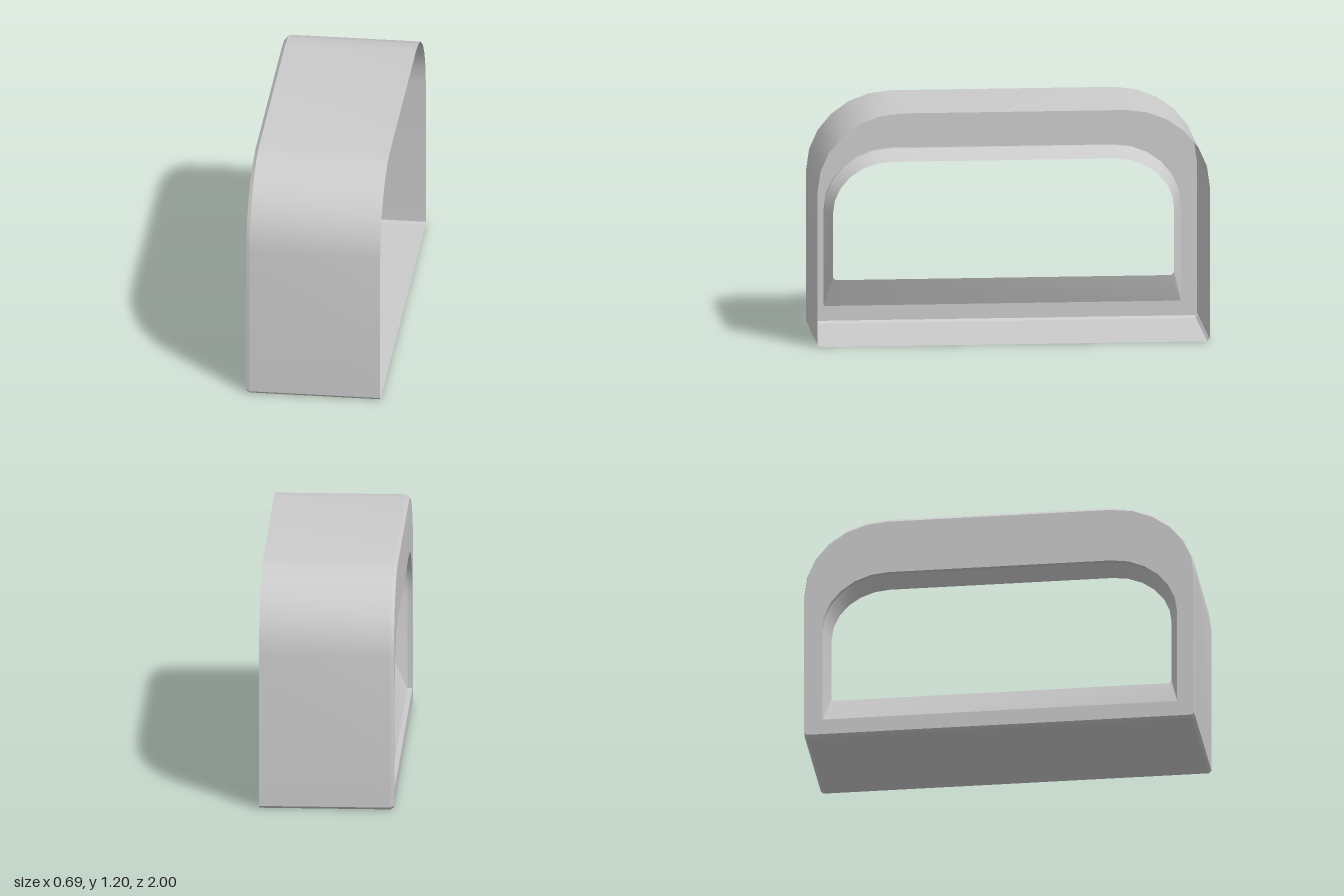
import * as THREE from 'three';
import { toCreasedNormals } from 'three/addons/utils/BufferGeometryUtils.js';

const ARC_STEPS = 6;

// Arched outline in the zy plane at depth x: clipped bottom corners,
// straight sides up to `spring`, elliptical shoulders, flat top.
function archRing(x, { half, bottom, spring, top, flat, clip }) {
  const side = [
    [half - clip, bottom],
    [half, bottom + clip],
  ];
  for (let i = 0; i <= ARC_STEPS; i++) {
    const a = (i / ARC_STEPS) * Math.PI / 2;
    side.push([flat + (half - flat) * Math.cos(a), spring + (top - spring) * Math.sin(a)]);
  }
  const back = side.map(([z, y]) => new THREE.Vector3(x, y, -z));
  const front = side.map(([z, y]) => new THREE.Vector3(x, y, z)).reverse();
  return [...back, ...front];
}

// Closed band of quads joining two matching rings.
function band(a, b) {
  const n = a.length;
  const index = [];
  for (let i = 0; i < n; i++) {
    const j = (i + 1) % n;
    index.push(i, n + i, j, j, n + i, n + j);
  }
  const geometry = new THREE.BufferGeometry().setFromPoints([...a, ...b]);
  geometry.setIndex(index);
  return toCreasedNormals(geometry, 0.5);
}

export function createModel() {
  const group = new THREE.Group();
  group.name = 'archedHousing';
  const material = new THREE.MeshStandardMaterial({ color: 0xcccccc, side: THREE.DoubleSide });

  const body = { half: 1, bottom: 0, spring: 0.8, top: 1.2, flat: 0.57, clip: 0.013 };
  const face = { half: 0.995, bottom: 0.012, spring: 0.8, top: 1.183, flat: 0.57, clip: 0.01 };
  const opening = { half: 0.91, bottom: 0.093, spring: 0.59, top: 0.9, flat: 0.57, clip: 0.003 };
  const throat = { half: 0.87, bottom: 0.237, spring: 0.58, top: 0.843, flat: 0.57, clip: 0.014 };

  // Rings from the open end, round the face plate and back in through the opening
  const rings = [
    archRing(0.343, body),
    archRing(-0.325, body),
    archRing(-0.343, face),
    archRing(-0.343, opening),
    archRing(-0.318, opening),
    archRing(-0.253, throat),
  ];
  const names = ['outerShell', 'edgeBevel', 'facePlate', 'openingLedge', 'openingFunnel'];
  names.forEach((name, i) => {
    const mesh = new THREE.Mesh(band(rings[i], rings[i + 1]), material);
    mesh.name = name;
    group.add(mesh);
  });
  return group;
}
